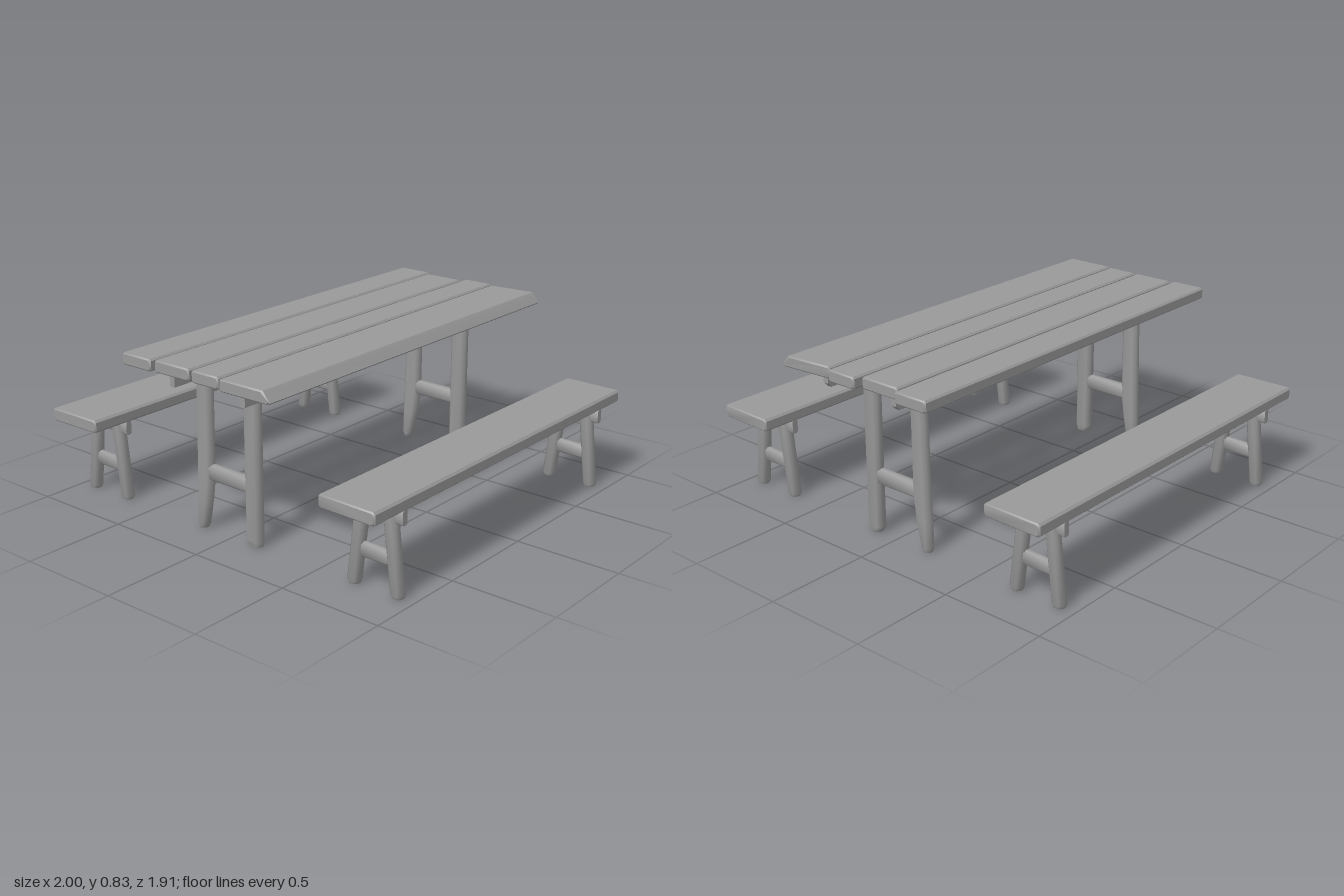
import * as THREE from 'three';
import { toCreasedNormals } from 'three/addons/utils/BufferGeometryUtils.js';

const wood = new THREE.MeshStandardMaterial({ color: 0x999999 });
wood.name = 'grey wood';

// Maps a cross-section point (u, v) at distance t along the chosen axis
const place = {
  x: (u, v, t) => new THREE.Vector3(t, u, v),
  y: (u, v, t) => new THREE.Vector3(v, t, u),
  z: (u, v, t) => new THREE.Vector3(u, v, t),
};

// Chamfered rectangle; t may be [t at v0, t at v1] for a skewed end
function ring(axis, { t, u, v, c }) {
  const [u0, u1] = u, [v0, v1] = v;
  const [ta, tb] = Array.isArray(t) ? t : [t, t];
  const corners = [
    [u1, v0 + c], [u1, v1 - c], [u1 - c, v1], [u0 + c, v1],
    [u0, v1 - c], [u0, v0 + c], [u0 + c, v0], [u1 - c, v0],
  ];
  return corners.map(([a, b]) => place[axis](a, b, ta + (tb - ta) * (b - v0) / (v1 - v0)));
}

// Timber lofted through chamfered sections, with both ends capped
function timber(name, axis, sections, crease = 0.9) {
  const rings = sections.map((s) => ring(axis, s));
  const pts = [];
  for (let i = 0; i < rings.length - 1; i++) {
    for (let j = 0; j < 8; j++) {
      const k = (j + 1) % 8, r = rings[i], s = rings[i + 1];
      pts.push(r[j], r[k], s[k], r[j], s[k], s[j]);
    }
  }
  const first = rings[0], last = rings[rings.length - 1];
  for (let j = 1; j < 7; j++) {
    pts.push(first[0], first[j + 1], first[j], last[0], last[j], last[j + 1]);
  }
  const geometry = toCreasedNormals(new THREE.BufferGeometry().setFromPoints(pts), crease);
  const mesh = new THREE.Mesh(geometry, wood);
  mesh.name = name;
  return mesh;
}

// Board along x with softened ends; left and right may be skewed pairs
function board(name, left, right, u, v, c = 0.008) {
  const shift = (t, d) => (Array.isArray(t) ? t.map((n) => n + d) : t + d);
  const e = 0.006;
  const small = { u: [u[0] + e, u[1] - e], v: [v[0] + e, v[1] - e], c };
  return timber(name, 'x', [
    { t: left, ...small }, { t: shift(left, e), u, v, c },
    { t: shift(right, -e), u, v, c }, { t: right, ...small },
  ], 0.6);
}

// Upright post: rows of [height, z0, z1]
function post(name, x, rows, c) {
  const half = 0.028;
  return timber(name, 'y', rows.map(([t, z0, z1], i) => {
    const s = i === 0 ? 0.005 : 0;
    return { t, u: [z0, z1], v: [x - half + s, x + half - s], c };
  }));
}

// Straight rail running along z
function crossRail(name, x, half, y, z, c) {
  const section = { u: [x - half, x + half], v: y, c };
  return timber(name, 'z', [{ t: z[0], ...section }, { t: z[1], ...section }]);
}

function createTable() {
  const table = new THREE.Group();
  table.name = 'table';
  const y = [0.78, 0.835];

  // Four uneven top planks
  table.add(
    board('tabletopPlank', -0.99, 1, y, [0, 0.155]),
    board('tabletopPlank', -0.99, 0.967, y, [-0.22, -0.015]),
    board('tabletopPlank', -1, 1, y, [-0.41, -0.235]),
  );

  // Wide front plank with a worn outer edge and a skewed end
  const front = board('frontTabletopPlank', -1, [0.978, 1], y, [0.17, 0.445]);
  const pos = front.geometry.attributes.position;
  for (let i = 0; i < pos.count; i++) {
    if (pos.getZ(i) > 0.42 && pos.getY(i) > 0.82) {
      pos.setZ(i, pos.getZ(i) - 0.03);
    }
  }
  front.geometry = toCreasedNormals(front.geometry, 0.6);
  table.add(front);

  // Long rails beneath the planks
  for (const z of [0.243, -0.167]) {
    table.add(timber('underRail', 'x', [
      { t: -0.94, u: [0.712, 0.785], v: [z - 0.014, z + 0.014], c: 0.004 },
      { t: 0.915, u: [0.712, 0.785], v: [z - 0.014, z + 0.014], c: 0.004 },
      { t: 0.935, u: [0.732, 0.785], v: [z - 0.014, z + 0.014], c: 0.004 },
    ], 0.6));
  }

  // H-shaped trestles
  for (const x of [-0.763, 0.768]) {
    table.add(
      post('frontTableLeg', x, [[0, 0.105, 0.17], [0.025, 0.09, 0.175], [0.785, 0.09, 0.175]], 0.016),
      post('backTableLeg', x, [[0, -0.203, -0.162], [0.02, -0.208, -0.153],
        [0.15, -0.205, -0.128], [0.26, -0.2, -0.113], [0.785, -0.187, -0.108]], 0.016),
      crossRail('tableStretcher', x, 0.022, [0.243, 0.318], [-0.14, 0.12], 0.012),
    );
  }
  return table;
}

function createBench(name, mid, left, right) {
  const bench = new THREE.Group();
  bench.name = name;
  bench.add(board('benchSeat', left, right, [0.39, 0.45], [mid - 0.148, mid + 0.148], 0.01));

  for (const x of [-0.763, 0.768]) {
    // Splayed legs
    for (const side of [-1, 1]) {
      const span = (a, b) => [mid + side * a, mid + side * b].sort((p, q) => p - q);
      bench.add(post('benchLeg', x, [
        [0, ...span(0.088, 0.137)], [0.015, ...span(0.083, 0.142)], [0.395, ...span(0.038, 0.098)],
      ], 0.014));
    }
    // Cleat under the seat and low stretcher
    bench.add(
      crossRail('benchCleat', x, 0.015, [0.327, 0.395], [mid - 0.143, mid + 0.143], 0.008),
      crossRail('benchStretcher', x, 0.018, [0.132, 0.2], [mid - 0.085, mid + 0.085], 0.01),
    );
  }
  return bench;
}

export function createModel() {
  const model = new THREE.Group();
  model.name = 'picnicTableSet';
  model.add(
    createTable(),
    createBench('frontBench', 0.805, [-0.957, -0.967], [0.946, 0.937]),
    createBench('backBench', -0.805, -0.967, [0.946, 0.938]),
  );
  return model;
}
